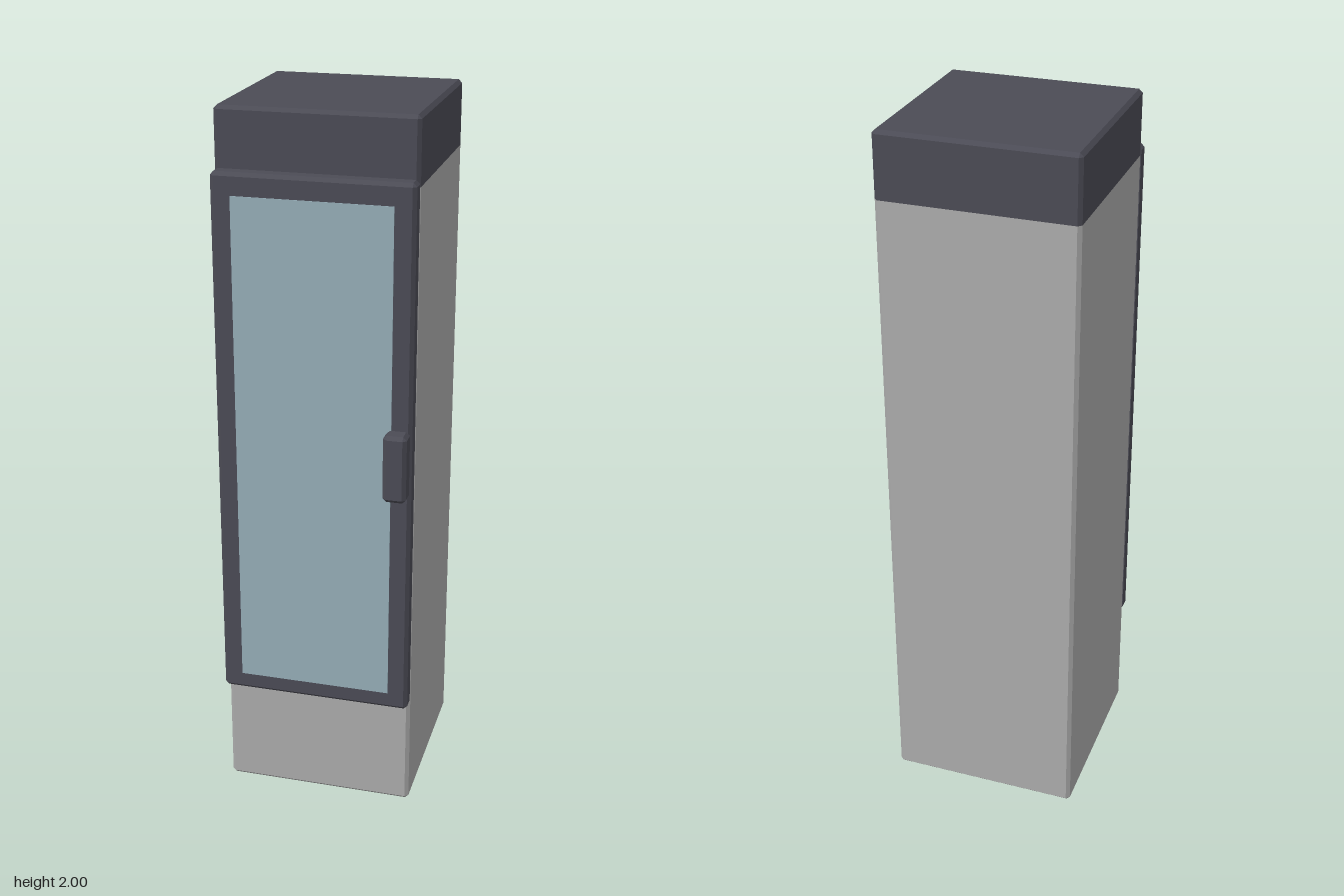
import * as THREE from 'three';

const grey = new THREE.MeshStandardMaterial({ color: 0xababab });
grey.name = 'cabinet grey';
const dark = new THREE.MeshStandardMaterial({ color: 0x4b4b55 });
dark.name = 'trim charcoal';
const blue = new THREE.MeshStandardMaterial({ color: 0x95adb7 });
blue.name = 'glass blue';

// Eight corners of a chamfered rectangle, counter-clockwise seen from +z
function ring(w, h, c, z) {
  const a = w / 2, b = h / 2;
  return [
    [a, -b + c, z], [a, b - c, z], [a - c, b, z], [-a + c, b, z],
    [-a, b - c, z], [-a, -b + c, z], [-a + c, -b, z], [a - c, -b, z],
  ];
}

// Flat-faced prism along z with chamfered long edges and optional chamfered ends
function chamferedPrism(w, h, depth, c, { back = true, front = true, backCap = true, frontCap = true } = {}) {
  const rings = [];
  if (back) rings.push(ring(w - 2 * c, h - 2 * c, 0, 0));
  rings.push(ring(w, h, c, back ? c : 0));
  rings.push(ring(w, h, c, front ? depth - c : depth));
  if (front) rings.push(ring(w - 2 * c, h - 2 * c, 0, depth));

  const out = [];
  const same = (p, q) => p.every((v, i) => Math.abs(v - q[i]) < 1e-7);
  const tri = (p, q, r) => {
    if (!same(p, q) && !same(q, r) && !same(p, r)) out.push(...p, ...q, ...r);
  };
  for (let k = 0; k < rings.length - 1; k++) {
    const lo = rings[k], hi = rings[k + 1];
    for (let i = 0; i < 8; i++) {
      const j = (i + 1) % 8;
      tri(lo[i], lo[j], hi[j]);
      tri(lo[i], hi[j], hi[i]);
    }
  }
  const first = rings[0], last = rings[rings.length - 1];
  for (let i = 1; i < 7; i++) {
    if (backCap) tri(first[0], first[i + 1], first[i]);
    if (frontCap) tri(last[0], last[i], last[i + 1]);
  }
  const g = new THREE.BufferGeometry();
  g.setAttribute('position', new THREE.Float32BufferAttribute(out, 3));
  g.computeVertexNormals();
  return g;
}

function addPart(group, name, geometry, material, x, y, z) {
  const mesh = new THREE.Mesh(geometry, material);
  mesh.name = name;
  mesh.position.set(x, y, z);
  group.add(mesh);
  return mesh;
}

export function createModel() {
  const model = new THREE.Group();
  model.name = 'glassDoorCabinet';
  const size = 0.54, bevel = 0.01, split = 1.82, bodyZ = -0.045;

  // Cabinet body and its dark top band, both prisms turned upright
  const body = chamferedPrism(size, size, split, bevel, { front: false, frontCap: false });
  addPart(model, 'cabinetBody', body.rotateX(-Math.PI / 2), grey, 0, 0, bodyZ);
  const top = chamferedPrism(size, size, 2 - split, bevel, { back: false, backCap: false });
  addPart(model, 'topBand', top.rotateX(-Math.PI / 2), dark, 0, split, bodyZ);

  // Door slab with bevelled front edges
  const door = chamferedPrism(size, 1.51, 0.042, bevel, { back: false });
  addPart(model, 'doorFrame', door, dark, 0, 1.085, 0.225);

  // Glass pane, almost flush with the door
  addPart(model, 'glassPane', new THREE.BoxGeometry(0.43, 1.4, 0.004), blue, 0, 1.08, 0.267);

  // Handle block
  const handle = chamferedPrism(0.064, 0.19, 0.047, bevel, { back: false });
  addPart(model, 'doorHandle', handle, dark, 0.233, 1.085, 0.265);

  return model;
}
